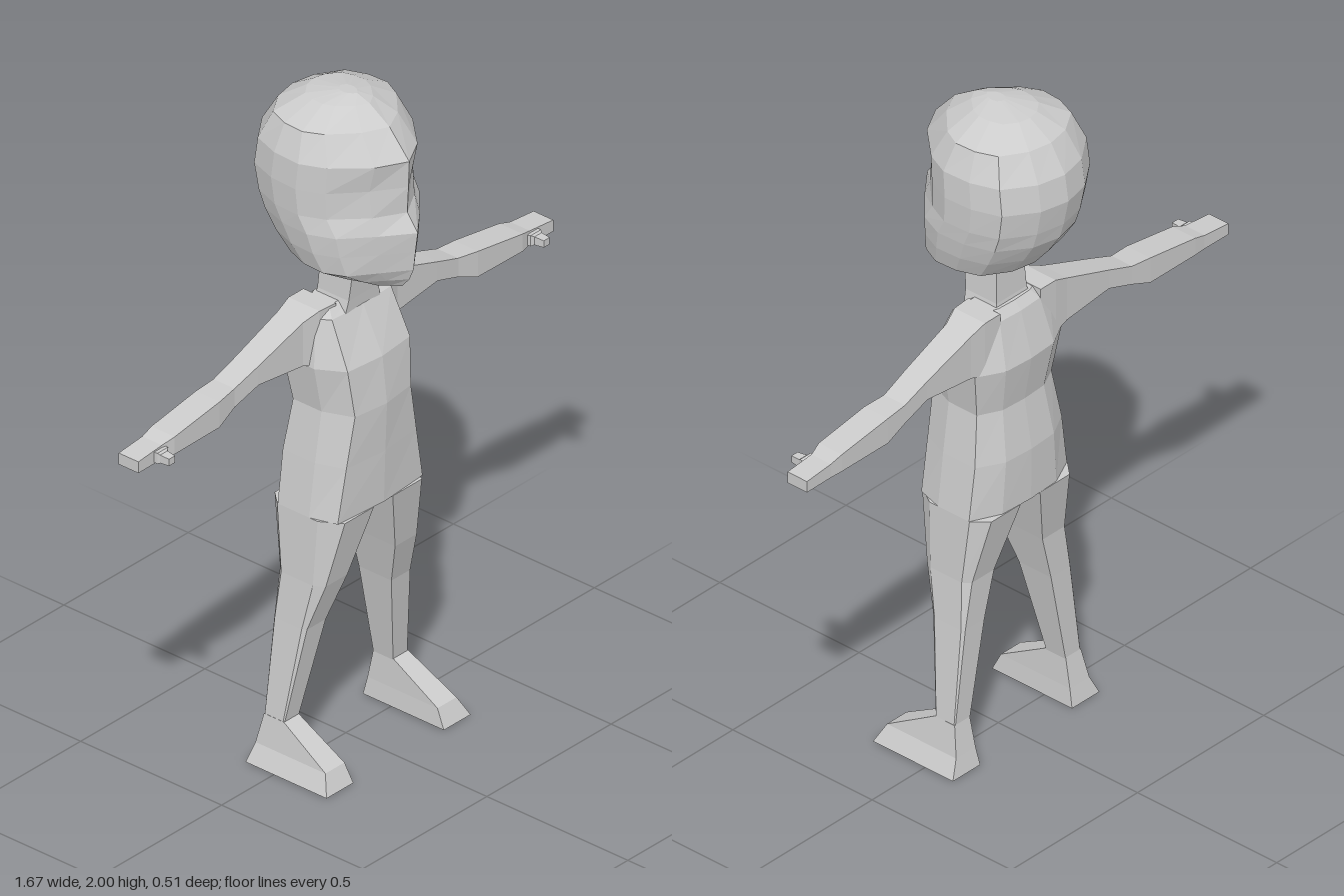
import * as THREE from 'three';

const material = new THREE.MeshStandardMaterial({ color: 0xcccccc, flatShading: true });

// Skins a list of equal-sized rings, closes both ends and turns all faces outward.
function loft(name, rings, mirror = 1) {
  const n = rings[0].length, tris = [];
  const R = rings.map(r => r.map(p => new THREE.Vector3(p[0] * mirror, p[1], p[2])));
  const middle = r => r.reduce((s, p) => s.add(p), new THREE.Vector3()).divideScalar(n);
  const end = R[R.length - 1];
  const firstMid = middle(R[0]), endMid = middle(end);
  for (let j = 0; j < n; j++) {
    const k = (j + 1) % n;
    for (let i = 0; i < R.length - 1; i++) {
      tris.push([R[i][j], R[i][k], R[i + 1][k]], [R[i][j], R[i + 1][k], R[i + 1][j]]);
    }
    tris.push([firstMid, R[0][k], R[0][j]], [endMid, end[j], end[k]]);
  }
  const volume = tris.reduce((s, [a, b, c]) => s + a.dot(b.clone().cross(c)), 0);
  const points = tris.flatMap(([a, b, c]) => (volume < 0 ? [a, c, b] : [a, b, c]));
  const geometry = new THREE.BufferGeometry().setFromPoints(points);
  geometry.computeVertexNormals();
  const mesh = new THREE.Mesh(geometry, material);
  mesh.name = name;
  return mesh;
}

// Completes a half ring (from front centre to back centre) with its mirror image.
const symmetric = half =>
  [...half, ...half.slice(1, -1).reverse().map(([x, y, z]) => [-x, y, z])];

// Rectangular rings: level at a height, upright across the arm, upright across the thumb
const levelRect = (y, x0, x1, z0, z1) => [[x0, y, z1], [x1, y, z1], [x1, y, z0], [x0, y, z0]];
const armRect = (x, y0, y1, z0, z1) => [[x, y0, z1], [x, y1, z1], [x, y1, z0], [x, y0, z0]];
const thumbRect = (z, x0, x1, y0, y1) => [[x0, y0, z], [x1, y0, z], [x1, y1, z], [x0, y1, z]];

// Head: height, half width, front z, back z, depth fraction of the face beside the centre
function headRing([y, w, zf, zb, face]) {
  const outline = [[0, 1], [0.42, face], [0.84, 0.7], [1, 0.54], [0.98, 0.35],
    [0.84, 0.17], [0.42, 0.04], [0, 0]];
  return symmetric(outline.map(([x, t]) => [x * w, y, zb + (zf - zb) * t]));
}

// Torso: height, half width, front panel fraction, front z, back z
function torsoRing([y, w, panel, zf, zb]) {
  return symmetric([[0, y, zf], [panel * w, y, zf * 0.9], [w, y, zf * 0.3],
    [w, y, zb * 0.6], [w * 0.55, y, zb * 0.95], [0, y, zb]]);
}

// Leg: height, inner x, outer x, front z, back z, corner bevel
function legRing([y, xi, xo, zf, zb, bevel]) {
  const xm = xo - (xo - xi) * bevel, d = (zf - zb) * bevel;
  return [[xi, y, zf], [xm, y, zf], [xo, y, zf - d], [xo, y, zb + d * 0.7], [xm, y, zb], [xi, y, zb]];
}

export function createModel() {
  const model = new THREE.Group();
  model.name = 'figure';

  model.add(loft('head', [
    [1.465, 0.05, 0.2, 0.03, 0.85],
    [1.495, 0.11, 0.225, -0.05, 0.85],
    [1.53, 0.172, 0.24, -0.13, 0.85],
    [1.59, 0.19, 0.247, -0.18, 0.86],
    [1.65, 0.2, 0.255, -0.22, 0.86],
    [1.70, 0.204, 0.218, -0.235, 0.89],
    [1.78, 0.208, 0.222, -0.252, 0.87],
    [1.86, 0.205, 0.225, -0.24, 0.9],
    [1.94, 0.172, 0.155, -0.19, 0.9],
    [1.985, 0.085, 0.085, -0.115, 0.9],
    [2.0, 0.02, 0.04, -0.02, 0.9],
  ].map(headRing)));

  model.add(loft('neck', [
    levelRect(1.35, -0.07, 0.07, -0.055, 0.06),
    levelRect(1.39, -0.06, 0.06, -0.048, 0.063),
    levelRect(1.54, -0.05, 0.05, -0.04, 0.078),
  ]));

  model.add(loft('torso', [
    [0.77, 0.194, 0.88, 0.135, -0.118],
    [0.93, 0.172, 0.82, 0.14, -0.12],
    [1.08, 0.148, 0.76, 0.146, -0.095],
    [1.22, 0.172, 0.73, 0.13, -0.12],
    [1.355, 0.145, 0.82, 0.062, -0.082],
    [1.38, 0.115, 0.85, 0.03, -0.06],
  ].map(torsoRing)));

  // Limbs, made once per side
  for (const [side, m] of [['left', 1], ['right', -1]]) {
    model.add(loft(side + 'Arm', [
      armRect(0.08, 1.21, 1.382, -0.08, 0.035),
      armRect(0.14, 1.215, 1.382, -0.08, 0.03),
      armRect(0.19, 1.228, 1.362, -0.075, 0.015),
      armRect(0.36, 1.243, 1.302, -0.072, 0.008),
      armRect(0.45, 1.212, 1.27, -0.073, 0.002),
      armRect(0.52, 1.184, 1.263, -0.075, 0.01),
      armRect(0.70, 1.182, 1.236, -0.073, 0.01),
      armRect(0.74, 1.181, 1.224, -0.07, 0),
      armRect(0.835, 1.18, 1.215, -0.07, 0),
    ], m));

    model.add(loft(side + 'Thumb', [
      thumbRect(-0.02, 0.72, 0.775, 1.187, 1.215),
      thumbRect(0.012, 0.73, 0.772, 1.185, 1.218),
      thumbRect(0.018, 0.738, 0.768, 1.188, 1.213),
      thumbRect(0.048, 0.742, 0.766, 1.19, 1.211),
    ], m));

    model.add(loft(side + 'Leg', [
      [0.14, 0.19, 0.25, 0, -0.07, 0.05],
      [0.43, 0.132, 0.216, 0.045, -0.07, 0.1],
      [0.57, 0.096, 0.202, 0.09, -0.072, 0.18],
      [0.77, 0.038, 0.194, 0.133, -0.116, 0.25],
    ].map(legRing), m));

    model.add(loft(side + 'Foot', [
      levelRect(0, 0.182, 0.29, -0.1, 0.187),
      levelRect(0.055, 0.187, 0.264, -0.088, 0.16),
      levelRect(0.145, 0.19, 0.25, -0.07, 0),
    ], m));
  }
  return model;
}
